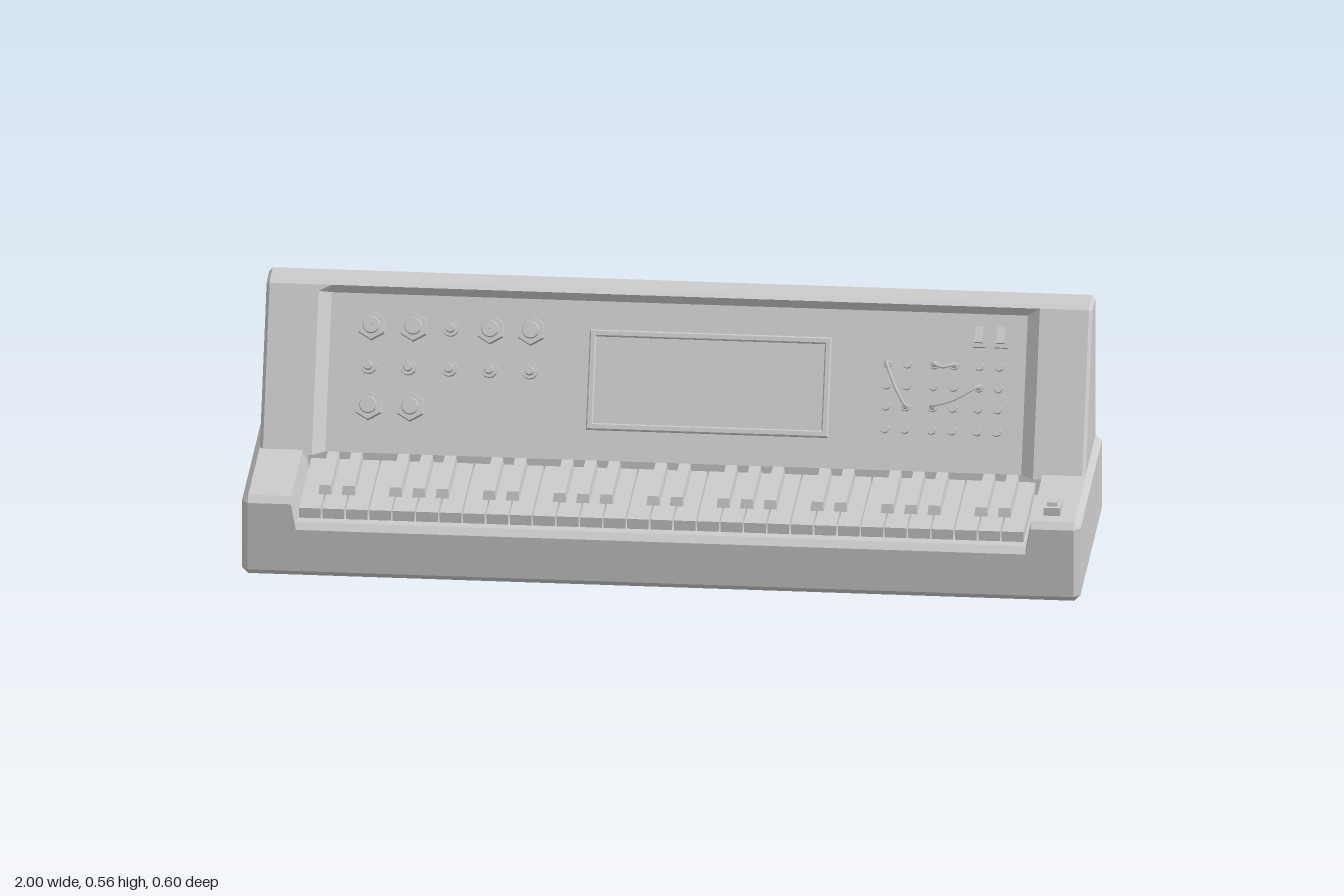
import * as THREE from 'three';

const mat = new THREE.MeshStandardMaterial({ color: 0xcccccc, flatShading: true });
const smooth = new THREE.MeshStandardMaterial({ color: 0xcccccc });
const SLOPE = 0.4705; // lean of the control panel

function add(parent, name, geo, x = 0, y = 0, z = 0, m = mat) {
  const mesh = new THREE.Mesh(geo, m);
  mesh.name = name;
  mesh.position.set(x, y, z);
  parent.add(mesh);
  return mesh;
}
const box = (w, h, d) => new THREE.BoxGeometry(w, h, d);
// disc or prism standing on the panel, axis along z, from z0 to z1
const peg = (r0, r1, z0, z1, sides) =>
  new THREE.CylinderGeometry(r1, r0, z1 - z0, sides).rotateX(Math.PI / 2).translate(0, 0, (z0 + z1) / 2);

// Skin closed (z, y) profiles placed along x; the end profiles are convex
function loft(sections) {
  const pos = [];
  const put = (s, i) => pos.push(s.x, s.p[i % s.p.length][1], s.p[i % s.p.length][0]);
  for (let k = 0; k < sections.length - 1; k++) {
    const a = sections[k], b = sections[k + 1];
    for (let i = 0; i < a.p.length; i++) {
      put(a, i); put(b, i); put(b, i + 1);
      put(a, i); put(b, i + 1); put(a, i + 1);
    }
  }
  const first = sections[0], last = sections[sections.length - 1];
  for (let i = 1; i < first.p.length - 1; i++) {
    put(first, 0); put(first, i); put(first, i + 1);
    put(last, 0); put(last, i + 1); put(last, i);
  }
  const g = new THREE.BufferGeometry();
  g.setAttribute('position', new THREE.Float32BufferAttribute(pos, 3));
  g.computeVertexNormals();
  return g;
}
// list half the sections (from +x inward) and mirror them
const mirrored = (half) => loft([...half.map((s) => ({ x: -s.x, p: s.p })), ...half.slice().reverse()]);

function makeBase() {
  const profile = (top, key) => [
    [0.285, 0], [0.3, 0.015], [0.3, top - 0.015], [0.285, top], [-0.045, top], [-0.05, key],
    [-0.282, 0.2], [-0.297, 0.185], [-0.297, 0.015], [-0.282, 0],
  ];
  const full = profile(0.2, 0.2), notch = profile(0.135, 0.2);
  const inset = full.map(([z, y]) => [
    THREE.MathUtils.clamp(z, -0.282, 0.285), THREE.MathUtils.clamp(y, 0.015, 0.185)]);
  return mirrored([{ x: 1, p: inset }, { x: 0.985, p: full }, { x: 0.882, p: full }, { x: 0.87, p: notch }]);
}

function makeConsole() {
  const back = [[-0.205, 0.56], [-0.273, 0.56], [-0.282, 0.551], [-0.282, 0.19]];
  const outer = [[-0.007, 0.19], [-0.184, 0.539], [-0.191, 0.553], ...back];
  const recessed = [[-0.032, 0.19], [-0.204, 0.529], [-0.191, 0.553], ...back];
  const inset = [[-0.015, 0.19], [-0.192, 0.537], [-0.198, 0.548],
    [-0.205, 0.552], [-0.27, 0.552], [-0.274, 0.548], [-0.274, 0.19]];
  return mirrored([{ x: 0.985, p: inset }, { x: 0.977, p: outer }, { x: 0.86, p: outer }, { x: 0.83, p: recessed }]);
}

function makeKeys() {
  const g = new THREE.Group();
  g.name = 'keyboard';
  const count = 31, pitch = 1.732 / count, left = -0.866;
  const white = box(pitch - 0.004, 0.025, 0.32);
  // sharps narrow towards the top and slope at the front
  const black = box(0.036, 0.04, 0.225);
  const p = black.attributes.position;
  for (let i = 0; i < p.count; i++) {
    if (p.getY(i) > 0) {
      p.setX(i, p.getX(i) * 0.75);
      if (p.getZ(i) > 0) p.setZ(i, p.getZ(i) - 0.01);
    }
  }
  black.computeVertexNormals();
  for (let i = 0; i < count; i++) {
    add(g, 'whiteKey', white, left + (i + 0.5) * pitch, 0.158, 0.124);
    // sharps follow C, D, F, G and A
    if ([0, 1, 3, 4, 5].includes(i % 7) && i < count - 1)
      add(g, 'blackKey', black, left + (i + 1) * pitch, 0.172, 0.085);
  }
  return g;
}

function makeRocker(name) {
  const g = new THREE.Group();
  g.name = name;
  add(g, 'switchHousing', box(0.04, 0.062, 0.02), 0, 0, 0.01);
  add(g, 'switchRocker', box(0.024, 0.042, 0.012), 0, 0, 0.02).rotation.x = -0.16;
  return g;
}

function makeKnob() {
  const g = new THREE.Group();
  g.name = 'largeKnob';
  add(g, 'knobCollar', peg(0.026, 0.026, 0, 0.016, 16));
  add(g, 'knobGrip', peg(0.036, 0.034, 0.012, 0.034, 6));
  add(g, 'knobCap', peg(0.021, 0.019, 0.034, 0.044, 12));
  add(g, 'knobPointer', box(0.005, 0.018, 0.004), 0, 0.009, 0.045);
  return g;
}

function makePanel() {
  const g = new THREE.Group();
  g.name = 'controlPanel';
  g.position.set(0, 0.19, -0.032);
  g.rotation.x = -SLOPE;
  const up = (y) => (y - 0.2) / Math.cos(SLOPE); // height to distance up the slope

  // knobs
  for (const [x, y] of [[-0.73, 0.47], [-0.63, 0.47], [-0.447, 0.47], [-0.35, 0.47], [-0.73, 0.3], [-0.63, 0.3]]) {
    const k = makeKnob();
    k.position.set(x, up(y), 0);
    g.add(k);
  }
  const small = [[-0.543, 0.47], ...[-0.735, -0.64, -0.543, -0.447, -0.35].map((x) => [x, 0.385])];
  for (const [x, y] of small) {
    add(g, 'smallKnobBase', peg(0.02, 0.019, 0, 0.016, 12), x, up(y), 0);
    add(g, 'smallKnobCap', peg(0.012, 0.01, 0.016, 0.032, 10), x, up(y), 0);
  }

  // display: raised frame around a lower screen
  const w = 0.577, h = 0.239, t = 0.016;
  const rect = (C, a, b) => new C([[-a, -b], [a, -b], [a, b], [-a, b]].map(([x, y]) => new THREE.Vector2(x / 2, y / 2)));
  const frame = rect(THREE.Shape, w, h);
  frame.holes.push(rect(THREE.Path, w - 2 * t, h - 2 * t));
  add(g, 'displayFrame', new THREE.ExtrudeGeometry(frame, {
    depth: 0.012, bevelThickness: 0.003, bevelSize: 0.003, bevelOffset: -0.003, bevelSegments: 1,
  }), 0.078, up(0.371), 0);
  add(g, 'displayScreen', box(w - t, h - t, 0.008), 0.078, up(0.371), 0.002);

  // patch bay: three pairs of columns, four rows
  const cols = [0.5, 0.548, 0.612, 0.66, 0.72, 0.767], rows = [0.428, 0.382, 0.337, 0.289];
  for (const x of cols) for (const y of rows) {
    add(g, 'jackSocket', peg(0.012, 0.011, 0, 0.014, 8), x, up(y), 0);
  }
  // patch cables as [column, row] pairs
  for (const [a, b] of [[[0, 0], [1, 2]], [[2, 0], [3, 0]], [[2, 2], [4, 1]]]) {
    const ends = [a, b].map(([c, r]) => new THREE.Vector3(cols[c], up(rows[r]), 0.01));
    for (const e of ends) add(g, 'cablePlug', peg(0.008, 0.006, 0.01, 0.032, 8), e.x, e.y, 0);
    const lift = (v, z) => v.clone().setZ(z);
    const mid = ends[0].clone().lerp(ends[1], 0.5).setZ(0.042);
    mid.y -= 0.008;
    const curve = new THREE.CatmullRomCurve3([lift(ends[0], 0.026), lift(ends[0], 0.036), mid,
      lift(ends[1], 0.036), lift(ends[1], 0.026)]);
    add(g, 'patchCable', new THREE.TubeGeometry(curve, 20, 0.004, 6), 0, 0, 0, smooth);
  }

  // pair of rocker switches
  for (const x of [0.718, 0.77]) {
    const s = makeRocker('panelSwitch');
    s.scale.set(0.8, 0.95, 1.2);
    s.position.set(x, up(0.493), 0);
    g.add(s);
  }
  return g;
}

export function createModel() {
  const model = new THREE.Group();
  model.name = 'synthesizer';
  add(model, 'base', makeBase());
  add(model, 'console', makeConsole());
  model.add(makeKeys(), makePanel());
  // power switch on the base beside the keys
  const power = makeRocker('powerSwitch');
  power.rotation.x = -Math.PI / 2;
  power.position.set(0.928, 0.2, 0.216);
  model.add(power);
  return model;
}
